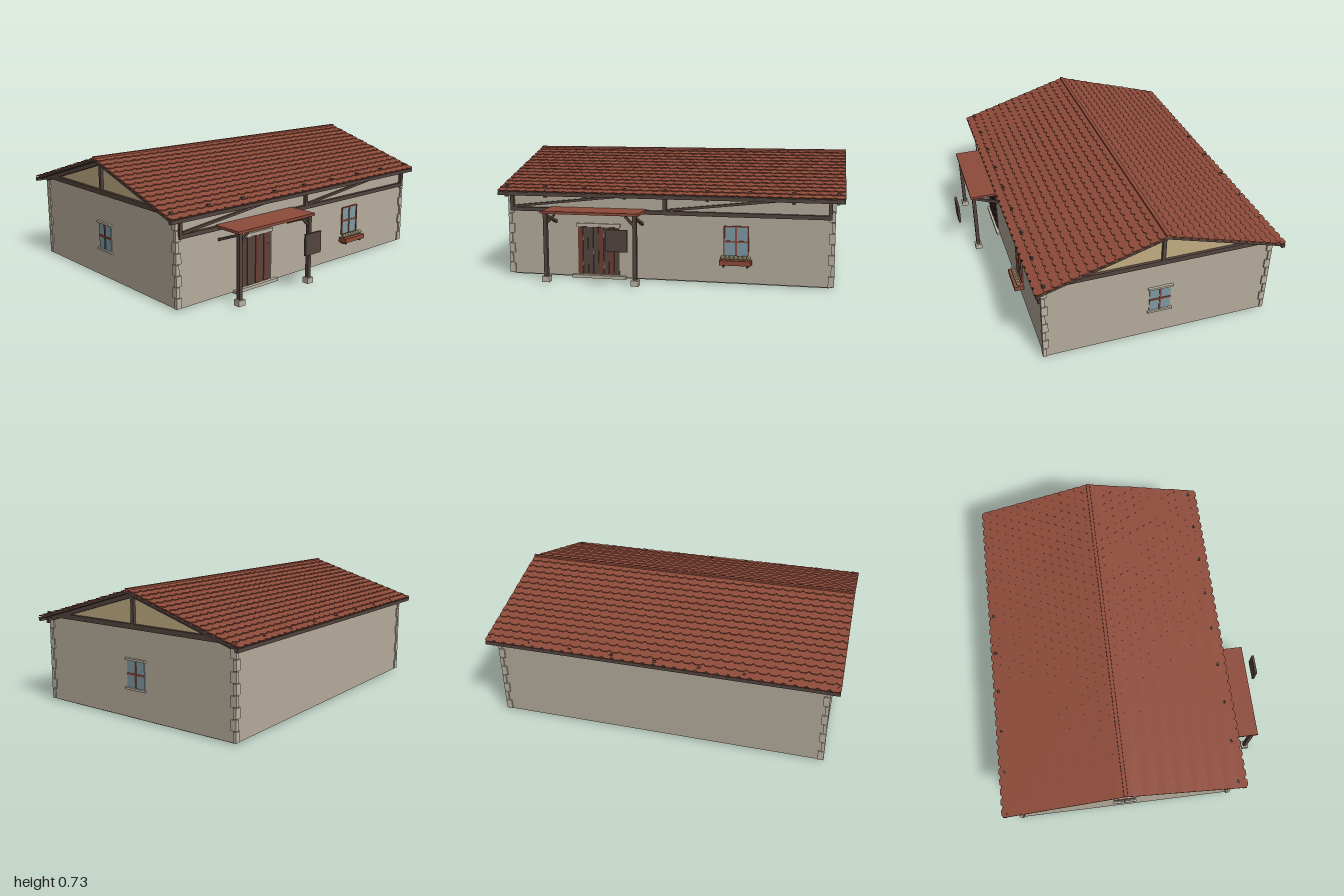
import * as THREE from 'three';

const mat = (name, color) => {
  const m = new THREE.MeshStandardMaterial({ color });
  m.name = name;
  return m;
};

export function createModel() {
  const house = new THREE.Group();
  house.name = 'house';
  const wall = mat('wall plaster', 0xb5ac9c);
  const stone = mat('pale stone', 0xbcb4a4);
  const wood = mat('dark timber', 0x54453e);
  const tile = mat('roof tile red', 0x8e4b3a);
  const gablePlaster = mat('gable plaster', 0xc4ae84);
  const glass = mat('window glass', 0x7f9aa4);
  const doorRed = mat('door red brown', 0x6c3d30);
  const bloom = mat('flowers', 0xb7aa88);

  const add = (parent, name, geo, m, x = 0, y = 0, z = 0) => {
    const mesh = new THREE.Mesh(geo, m);
    mesh.name = name;
    mesh.position.set(x, y, z);
    parent.add(mesh);
    return mesh;
  };
  // box given by its min and max on each axis
  const box = (parent, name, m, x0, x1, y0, y1, z0, z1) =>
    add(parent, name, new THREE.BoxGeometry(x1 - x0, y1 - y0, z1 - z0), m,
      (x0 + x1) / 2, (y0 + y1) / 2, (z0 + z1) / 2);
  // square beam between two points
  const beam = (parent, name, m, a, b, t) => {
    const p = new THREE.Vector3(...a), q = new THREE.Vector3(...b);
    const mesh = add(parent, name, new THREE.BoxGeometry(t, t, p.distanceTo(q)), m);
    mesh.position.copy(p).add(q).multiplyScalar(0.5);
    mesh.lookAt(q);
    return mesh;
  };
  // profile of (z, y) points extruded along x, centred on x = 0
  const alongX = (pts, width) => {
    const s = new THREE.Shape(pts.map(([z, y]) => new THREE.Vector2(-z, y)));
    return new THREE.ExtrudeGeometry(s, { depth: width, bevelEnabled: false })
      .translate(0, 0, -width / 2).rotateY(Math.PI / 2);
  };

  const ridgeZ = -0.11, ridgeY = 0.712;
  const zF = 0.555, zB = -0.765, X = 0.94;
  const slope = Math.atan(0.3), slopeLen = 0.745;

  // Walls and plinth
  add(house, 'walls', alongX([[zF, 0.01], [zF, 0.495], [ridgeZ, 0.69], [zB, 0.495], [zB, 0.01]], 2 * X), wall);
  box(house, 'plinth', wall, -0.92, 0.92, 0, 0.012, -0.74, 0.53);

  // Corner stones, alternating long and short
  for (const sx of [-1, 1]) for (const [zc, sz] of [[zF, 1], [zB, -1]]) {
    for (let i = 0; i < 8; i++) {
      const lx = i % 2 ? 0.02 : 0.034, lz = i % 2 ? 0.034 : 0.02, h = 0.06;
      add(house, 'cornerStone', new THREE.BoxGeometry(lx, h - 0.004, lz), stone,
        sx * (X + 0.008 - lx / 2), 0.012 + (i + 0.5) * h, zc + sz * (0.008 - lz / 2));
    }
  }

  // Gable ends
  for (const s of [-1, 1]) {
    const g = new THREE.Group();
    g.name = 'gable';
    house.add(g);
    add(g, 'gablePanel', alongX([[0.53, 0.52], [ridgeZ, 0.70], [-0.75, 0.52]], 0.008), gablePlaster, s * 0.942);
    box(g, 'gableTieBeam', wood, s * 0.95 - 0.012, s * 0.95 + 0.012, 0.513, 0.533, -0.71, 0.49);
    box(g, 'gableTieBeam', wood, s * 0.95 - 0.012, s * 0.95 + 0.012, 0.505, 0.52, -0.75, 0.535);
    box(g, 'kingPost', wood, s * 0.95 - 0.012, s * 0.95 + 0.012, 0.53, 0.70, ridgeZ - 0.01, ridgeZ + 0.01);
    for (const d of [-1, 1])
      beam(g, 'gableRafter', wood, [s * 0.95, 0.688, ridgeZ], [s * 0.95, 0.4965, ridgeZ + d * 0.64], 0.024);
  }

  // Roof slopes: deck plus overlapping scalloped tile courses
  const courses = 15, columns = 34, w = 2 / columns, pitch = slopeLen / courses;
  const courseGeometry = (offset) => {
    const h = pitch * 1.25, clip = 0.014;
    const s = new THREE.Shape();
    const cx = (x) => Math.max(-1, Math.min(1, x));
    s.moveTo(1, 0);
    s.lineTo(-1, 0);
    for (let i = 0; i < columns + (offset ? 1 : 0); i++) {
      const x0 = -1 + i * w - offset;
      s.lineTo(cx(x0), -h + clip);
      s.lineTo(cx(x0 + w * 0.25), -h);
      s.lineTo(cx(x0 + w * 0.75), -h);
    }
    s.lineTo(1, -h + clip);
    return new THREE.ExtrudeGeometry(s, { depth: 0.005, bevelEnabled: false });
  };
  const courseGeos = [courseGeometry(0), courseGeometry(w / 2)];
  for (const back of [false, true]) {
    const turn = new THREE.Group();
    turn.name = back ? 'backRoof' : 'frontRoof';
    turn.position.set(0, ridgeY, ridgeZ);
    turn.rotation.y = back ? Math.PI : 0;
    house.add(turn);
    const plane = new THREE.Group();
    plane.name = 'roofSlope';
    plane.rotation.x = slope - Math.PI / 2;
    turn.add(plane);
    box(plane, 'roofDeck', wood, -0.998, 0.998, -slopeLen + 0.012, 0, -0.012, 0);
    for (let k = 0; k < courses; k++) {
      const c = add(plane, 'tileCourse', courseGeos[k % 2], tile, 0, -(k - 0.25) * pitch, 0);
      c.rotation.x = -0.11;
    }
    // eave beam and the rafter tails that carry it
    box(turn, 'eaveBeam', wood, -0.998, 0.998, -0.232, -0.212, 0.688, 0.708);
    for (let i = 0; i < 9; i++) {
      const x = -0.96 + i * 0.24;
      beam(turn, 'rafterTail', wood, [x, -0.203, 0.63], [x, -0.22, 0.695], 0.016);
    }
  }
  box(house, 'ridgeCap', tile, -1, 1, ridgeY - 0.002, ridgeY + 0.014, ridgeZ - 0.01, ridgeZ + 0.01);

  // Timber frame along the top of the front wall
  box(house, 'frontRail', wood, -0.93, 0.93, 0.387, 0.41, 0.55, 0.574);
  box(house, 'frontTopRail', wood, -0.93, 0.93, 0.478, 0.496, 0.55, 0.574);
  for (const x of [-0.92, 0, 0.92]) box(house, 'frontStud', wood, x - 0.01, x + 0.01, 0.40, 0.485, 0.55, 0.574);
  for (const x of [-0.91, 0.01]) beam(house, 'frontBrace', wood, [x, 0.413, 0.562], [x + 0.66, 0.487, 0.562], 0.014);

  // Porch
  const porch = new THREE.Group();
  porch.name = 'porch';
  house.add(porch);
  box(porch, 'porchRoof', tile, -0.68, -0.11, 0.4, 0.415, 0.556, 0.738);
  for (const [x, d] of [[-0.655, 1], [-0.135, -1]]) {
    box(porch, 'porchPost', wood, x - 0.011, x + 0.011, 0.035, 0.4, 0.706, 0.728);
    box(porch, 'postBase', stone, x - 0.022, x + 0.022, 0.008, 0.04, 0.696, 0.738);
    beam(porch, 'porchStrut', wood, [x, 0.39, 0.715], [x, 0.328, 0.55], 0.015);
    beam(porch, 'porchCornerBrace', wood, [x, 0.34, 0.717], [x + d * 0.055, 0.395, 0.717], 0.013);
  }
  // hanging board
  box(house, 'hangingBoard', wood, -0.27, -0.15, 0.217, 0.338, 0.809, 0.823);

  // Door, lintel and step
  const n = 8, dw = 0.25 / n;
  for (let i = 0; i < n; i++) {
    const x = -0.52 + i * dw;
    box(house, 'doorPlank', i % 2 || i === 2 ? wood : doorRed, x, x + dw - 0.002, 0.025, 0.302, 0.55, i % 2 ? 0.56 : 0.562);
  }
  box(house, 'doorLintel', stone, -0.525, -0.265, 0.304, 0.324, 0.55, 0.566);
  box(house, 'doorStep', stone, -0.555, -0.23, 0.002, 0.02, 0.54, 0.575);

  // Windows facing +z locally, origin at the centre
  const makeWindow = (width, height, stoneTrim) => {
    const g = new THREE.Group();
    g.name = 'window';
    const a = width / 2, b = height / 2;
    box(g, 'windowGlass', glass, -a, a, -b, b, -0.002, 0.004);
    box(g, 'windowMullion', tile, -0.005, 0.005, -b, b, 0, 0.008);
    box(g, 'windowTransom', tile, -a, a, -0.005, 0.005, 0, 0.008);
    if (stoneTrim) {
      for (const s of [-1, 1])
        add(g, 'windowTrim', new THREE.BoxGeometry(width + 0.02, 0.012, 0.016), stone, 0, s * (b + 0.006), 0.006);
    } else {
      for (const s of [-1, 1]) {
        add(g, 'windowJamb', new THREE.BoxGeometry(0.007, height, 0.01), tile, s * a, 0, 0.004);
        add(g, 'windowRail', new THREE.BoxGeometry(width, 0.007, 0.01), tile, 0, s * b, 0.004);
      }
    }
    house.add(g);
    return g;
  };
  makeWindow(0.135, 0.17, false).position.set(0.406, 0.247, zF);
  for (const s of [-1, 1]) {
    const win = makeWindow(0.124, 0.15, true);
    win.position.set(s * X, 0.255, ridgeZ);
    win.rotation.y = s * Math.PI / 2;
  }

  // Flower box
  box(house, 'flowerBox', tile, 0.318, 0.496, 0.121, 0.148, 0.556, 0.612);
  for (const x of [0.34, 0.474]) box(house, 'flowerBoxBracket', wood, x - 0.005, x + 0.005, 0.108, 0.122, 0.55, 0.6);
  for (let i = 0; i < 7; i++)
    add(house, 'flower', new THREE.IcosahedronGeometry(0.015, 0), bloom, 0.334 + i * 0.0243, 0.161, 0.585);

  return house;
}
